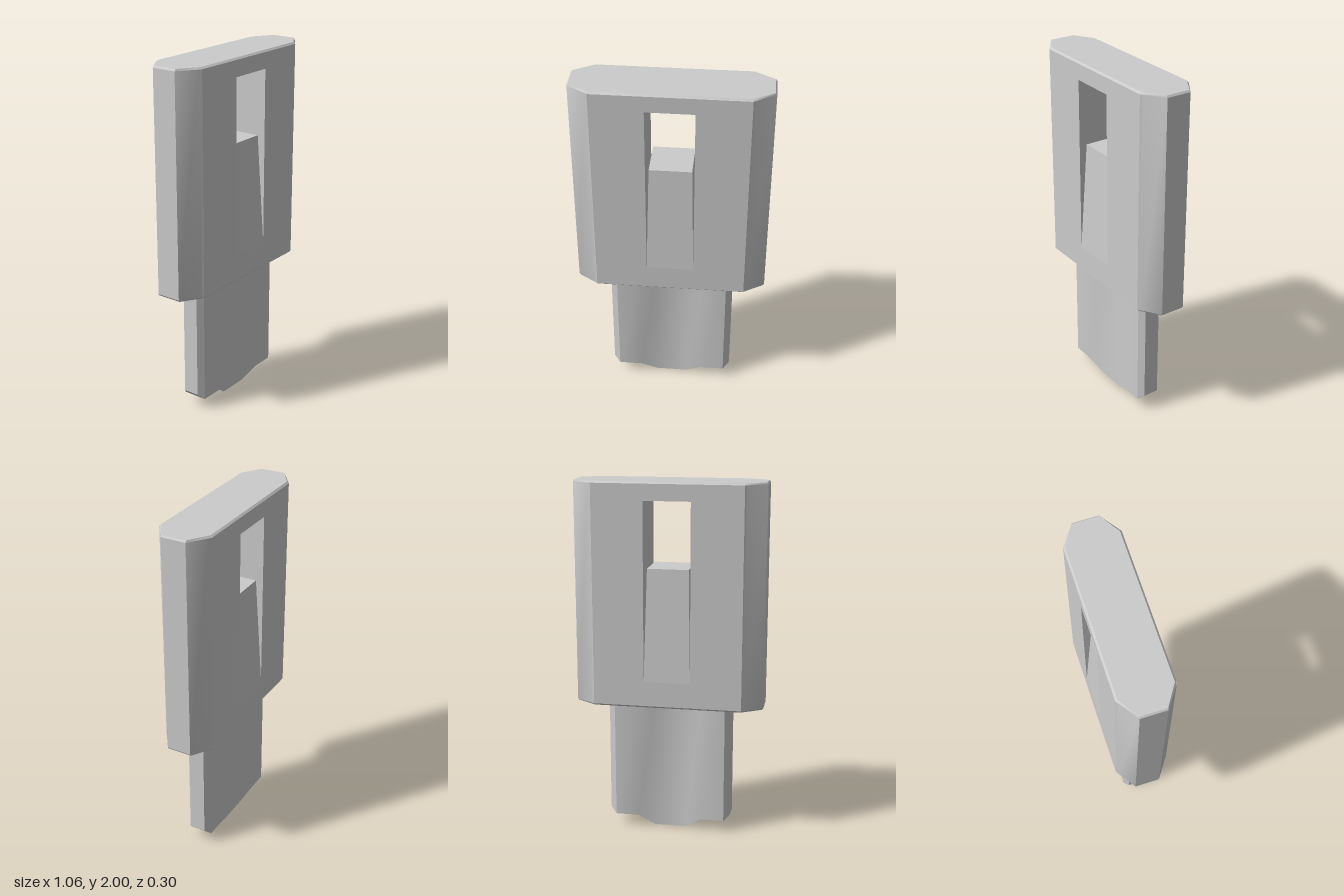
import * as THREE from 'three';
import { toCreasedNormals } from 'three/addons/utils/BufferGeometryUtils.js';

const material = new THREE.MeshStandardMaterial({ color: 0xcccccc });

// Rewrites every vertex of a geometry by a rule, then sharpens steep edges.
function reshape(geometry, rule) {
  const pos = geometry.attributes.position;
  const v = new THREE.Vector3();
  for (let i = 0; i < pos.count; i++) {
    v.fromBufferAttribute(pos, i);
    rule(v);
    pos.setXYZ(i, v.x, v.y, v.z);
  }
  return toCreasedNormals(geometry, 0.5);
}

function addPart(group, name, geometry) {
  const mesh = new THREE.Mesh(geometry, material);
  mesh.name = name;
  group.add(mesh);
}

// Housing: slotted plate in depth layers, its sides and rims chamfered.
function housingGeometry() {
  const bottom = 0.75, top = 2, rim = 0.01;
  const shape = new THREE.Shape([
    [0.415, bottom + rim], [0.415, top - rim], [0.41, top], [-0.41, top],
    [-0.415, top - rim], [-0.415, bottom + rim], [-0.41, bottom], [0.41, bottom],
  ].map(([x, y]) => new THREE.Vector2(x, y)));
  shape.holes.push(new THREE.Path([
    [-0.13, 0.9], [-0.13, 1.9], [0.13, 1.9], [0.13, 0.9],
  ].map(([x, y]) => new THREE.Vector2(x, y))));

  const layers = [-0.15, -0.14, -0.07, 0.07, 0.14, 0.15];
  const wallX = [0.415, 0.429, 0.53]; // outer wall, from face to middle
  const rimX = [0.41, 0.412, 0.522]; // rim of the top and bottom
  const geometry = new THREE.ExtrudeGeometry(shape, { depth: 5, steps: 5, bevelEnabled: false });
  return reshape(geometry, (v) => {
    const layer = Math.round(v.z);
    const k = Math.min(layer, 5 - layer);
    v.z = layers[layer];
    if (Math.abs(v.x) < 0.2) return; // slot
    const onRim = v.y > top - rim / 2 || v.y < bottom + rim / 2;
    v.x = Math.sign(v.x) * (onRim ? rimX : wallX)[k];
    if (k === 0) v.y = THREE.MathUtils.clamp(v.y, bottom + rim, top - rim);
  });
}

// Tongue: fills the lower slot and tapers upward.
function tongueGeometry() {
  return reshape(new THREE.BoxGeometry(2, 1, 2), (v) => {
    const upper = v.y > 0;
    v.set(v.x * (upper ? 0.115 : 0.13), upper ? 1.53 : 0.9, v.z * (upper ? 0.115 : 0.15));
  });
}

// Blade: thinner along its middle, with a stepped lower end.
function bladeGeometry() {
  // x, half thickness, height of the lower end
  const half = [[0.09, 0.035, 0], [0.18, 0.07, 0.065], [0.315, 0.07, 0.065], [0.35, 0.045, 0.1]];
  const stations = [...half.map(([x, t, y]) => [-x, t, y]).reverse(), ...half];
  const n = stations.length - 1;
  return reshape(new THREE.BoxGeometry(n, 1, 2, n, 1, 1), (v) => {
    const [x, t, low] = stations[Math.round(v.x + n / 2)];
    v.set(x, v.y > 0 ? 0.755 : low, v.z * t);
  });
}

export function createModel() {
  const group = new THREE.Group();
  group.name = 'bladeConnector';
  addPart(group, 'housing', housingGeometry());
  addPart(group, 'tongue', tongueGeometry());
  addPart(group, 'blade', bladeGeometry());
  return group;
}
